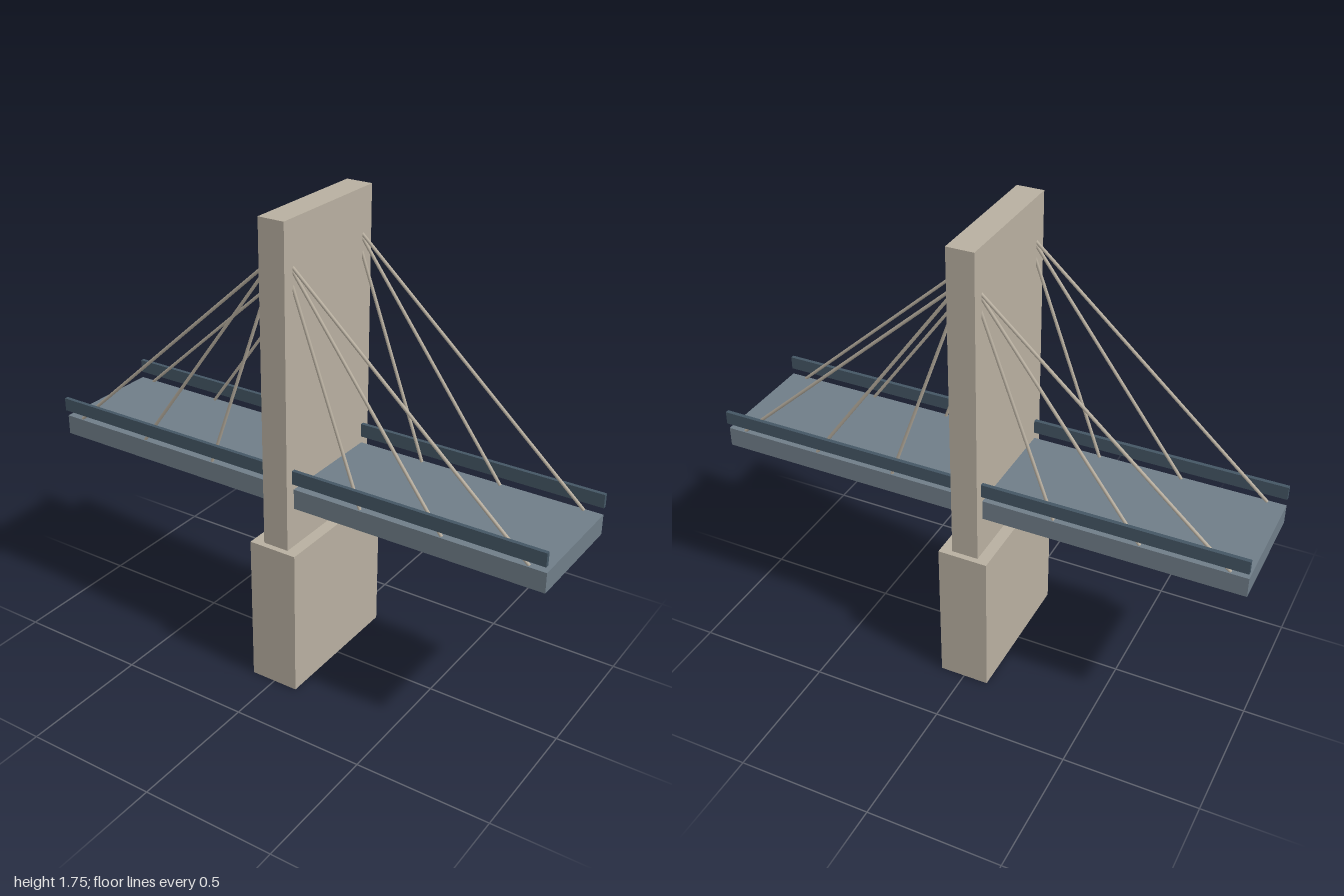
import * as THREE from 'three';

export function createModel() {
  const model = new THREE.Group();
  model.name = 'cableStayedBridge';
  const material = (name, color) => {
    const m = new THREE.MeshStandardMaterial({ color });
    m.name = name;
    return m;
  };
  const concrete = material('warm concrete', 0xb8afa0);
  const deckGrey = material('deck grey', 0x6f7d88);
  const railBlue = material('rail blue', 0x445664);

  // Box given by its size, bottom height and z position
  const box = (name, mat, w, h, d, bottom, z = 0) => {
    const mesh = new THREE.Mesh(new THREE.BoxGeometry(w, h, d), mat);
    mesh.name = name;
    mesh.position.set(0, bottom + h / 2, z);
    model.add(mesh);
  };

  // Pier, pylon and road deck
  box('pier', concrete, 0.188, 0.565, 0.56, 0);
  box('pylon', concrete, 0.1, 1.187, 0.516, 0.565);
  box('deck', deckGrey, 2, 0.075, 0.434, 0.715);

  // Straight round stay between two points
  const stay = (from, to) => {
    const dir = to.clone().sub(from);
    const mesh = new THREE.Mesh(new THREE.CylinderGeometry(0.006, 0.006, dir.length(), 8), concrete);
    mesh.name = 'stayCable';
    mesh.position.copy(from).add(to).multiplyScalar(0.5);
    mesh.quaternion.setFromUnitVectors(new THREE.Vector3(0, 1, 0), dir.normalize());
    model.add(mesh);
  };

  // Rails and fans of stays on both edges of the deck
  for (const side of [-1, 1]) {
    box('rail', railBlue, 2, 0.05, 0.015, 0.816, side * 0.22);
    for (const end of [-1, 1]) {
      for (const [x, top] of [[0.935, 1.63], [0.623, 1.64], [0.312, 1.65]]) {
        stay(new THREE.Vector3(end * x, 0.79, side * 0.207), new THREE.Vector3(0, top, side * 0.207));
      }
    }
  }
  return model;
}
